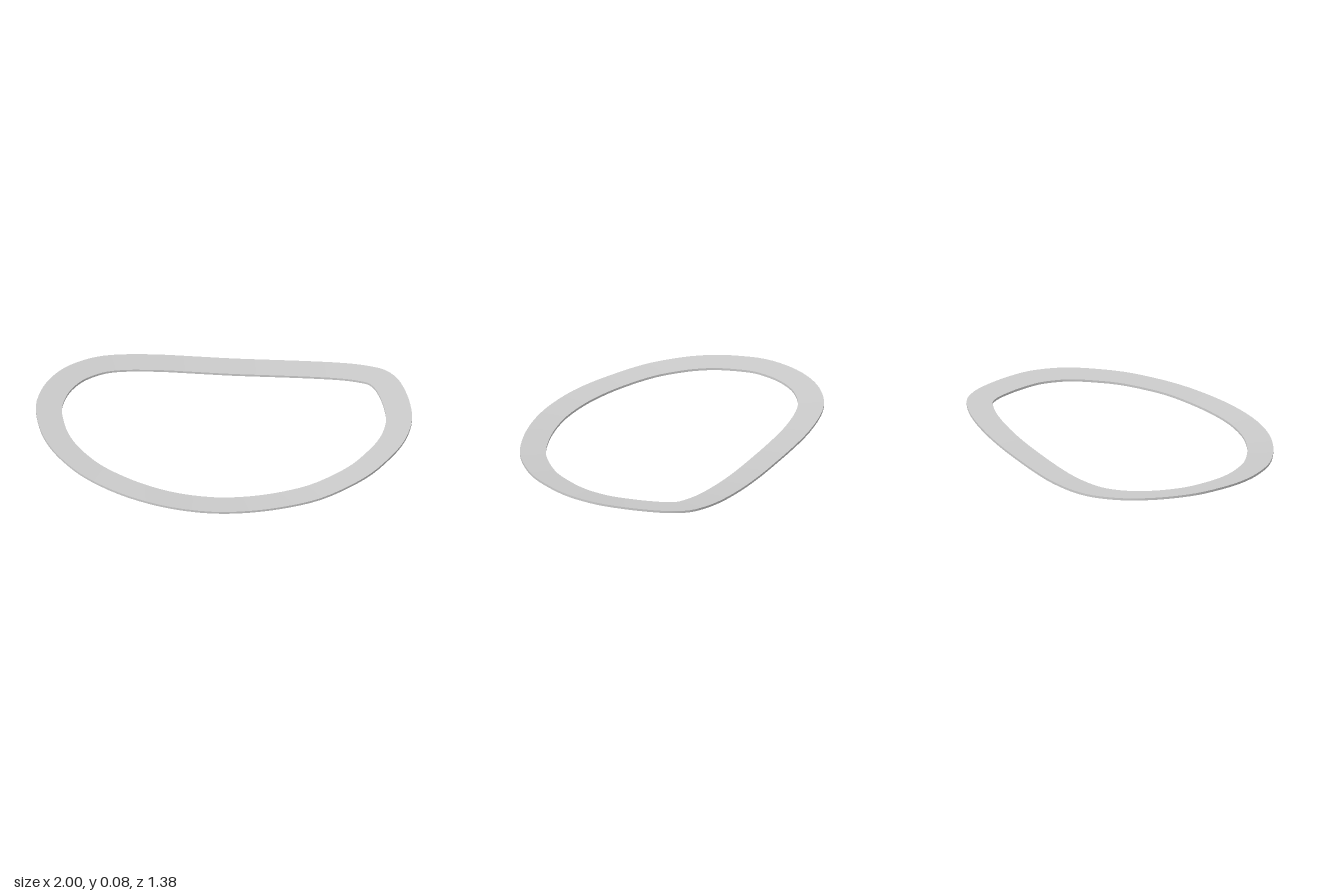
import * as THREE from 'three';

// Outer outline as [x, z], from the middle of the back edge round by +x
const OUTLINE = [
  [0, -0.69], [0.2, -0.69], [0.4, -0.683], [0.6, -0.663], [0.72, -0.635], [0.82, -0.59],
  [0.89, -0.51], [0.94, -0.4], [0.978, -0.27], [0.998, -0.14], [0.985, 0], [0.955, 0.1],
  [0.905, 0.2], [0.82, 0.33], [0.715, 0.435], [0.565, 0.545], [0.39, 0.62], [0.2, 0.67],
  [0, 0.69], [-0.22, 0.668], [-0.4, 0.615], [-0.56, 0.54], [-0.7, 0.45], [-0.79, 0.365],
  [-0.875, 0.26], [-0.94, 0.14], [-0.98, 0.01], [-1, -0.12], [-0.985, -0.25], [-0.95, -0.36],
  [-0.89, -0.465], [-0.82, -0.54], [-0.72, -0.61], [-0.6, -0.653], [-0.4, -0.683], [-0.2, -0.69],
];
const WIDTH = 0.138;
const THICKNESS = 0.012;
const SEGMENTS = 108;

// Underside height: the band curls up towards both sides, more on +x,
// and its front outer rim lifts slightly
function baseHeight(x, z) {
  const curl = (x > 0 ? 0.066 : 0.053) * x * x;
  return 0.001 + curl + 0.006 * THREE.MathUtils.smoothstep(z, 0.54, 0.69);
}

// Closed smooth strip between two edge loops
function strip(name, a, b, material) {
  const n = a.length;
  const index = [];
  for (let i = 0; i < n; i++) {
    const j = (i + 1) % n;
    index.push(i, n + i, n + j, i, n + j, j);
  }
  const geometry = new THREE.BufferGeometry().setFromPoints([...a, ...b]);
  geometry.setIndex(index);
  geometry.computeVertexNormals();
  const mesh = new THREE.Mesh(geometry, material);
  mesh.name = name;
  return mesh;
}

export function createModel() {
  const material = new THREE.MeshStandardMaterial({ color: 0xcccccc });
  const curve = new THREE.CatmullRomCurve3(
    OUTLINE.map(([x, z]) => new THREE.Vector3(x, 0, z)), true, 'centripetal');

  // Edge loops of the band's rectangular cross-section
  const outerTop = [], innerTop = [], innerBottom = [], outerBottom = [];
  for (let i = 0; i < SEGMENTS; i++) {
    const p = curve.getPoint(i / SEGMENTS);
    const t = curve.getTangent(i / SEGMENTS);
    const q = new THREE.Vector3(p.x - t.z * WIDTH, 0, p.z + t.x * WIDTH);
    p.y = baseHeight(p.x, p.z);
    q.y = baseHeight(q.x, q.z);
    outerBottom.push(p);
    innerBottom.push(q);
    outerTop.push(p.clone().setY(p.y + THICKNESS));
    innerTop.push(q.clone().setY(q.y + THICKNESS));
  }

  const ring = new THREE.Group();
  ring.name = 'curvedRimBand';
  ring.add(
    strip('topFace', outerTop, innerTop, material),
    strip('innerEdge', innerTop, innerBottom, material),
    strip('underside', innerBottom, outerBottom, material),
    strip('outerEdge', outerBottom, outerTop, material),
  );
  const model = new THREE.Group();
  model.name = 'rimFrame';
  model.add(ring);
  return model;
}
